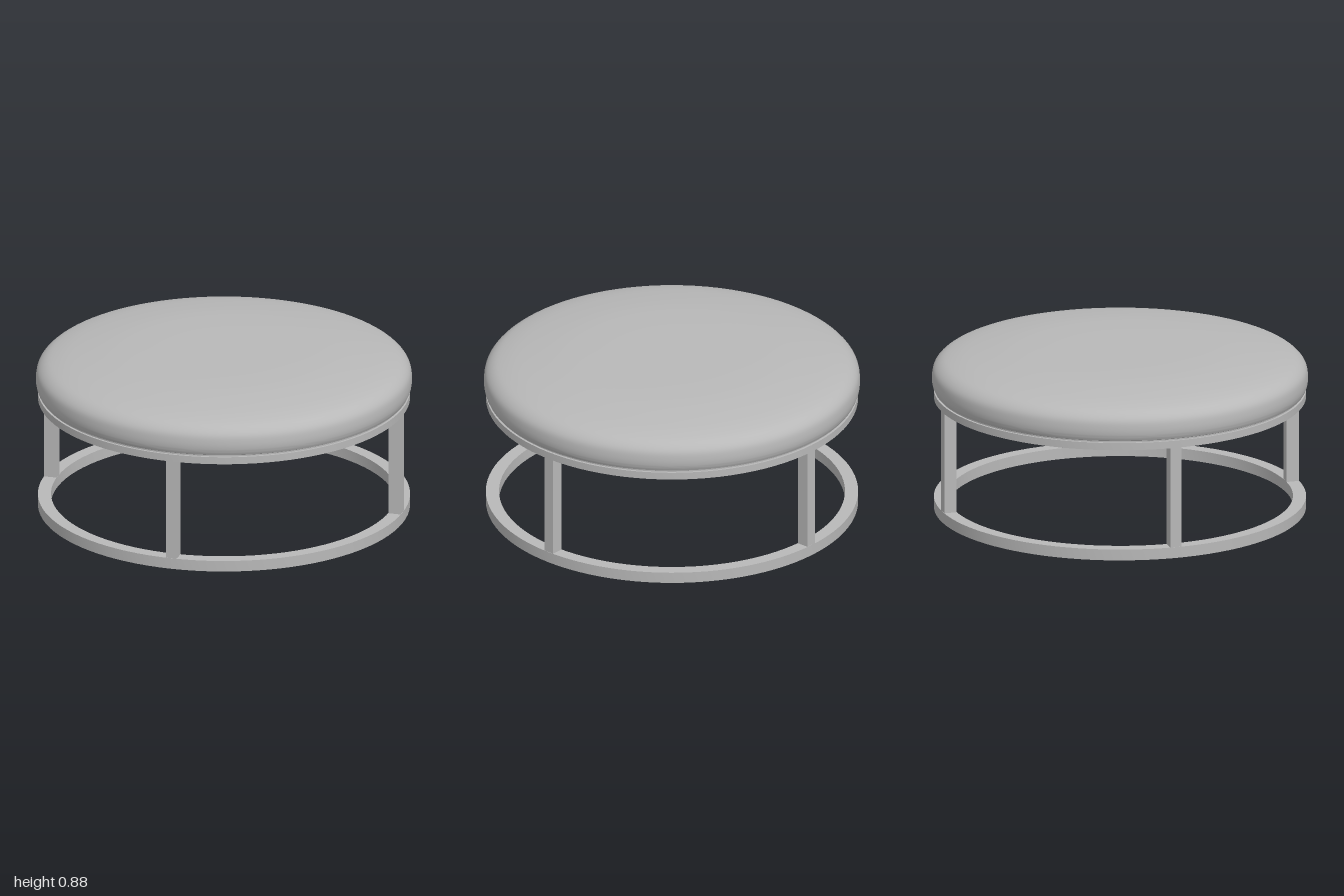
import * as THREE from 'three';
import { toCreasedNormals } from 'three/addons/utils/BufferGeometryUtils.js';

const SEGMENTS = 96;

export function createModel() {
  const group = new THREE.Group();
  group.name = 'roundOttoman';
  const grey = new THREE.MeshStandardMaterial({ name: 'softGrey', color: 0xb8b8b8 });

  const add = (name, geometry) => {
    const mesh = new THREE.Mesh(geometry, grey);
    mesh.name = name;
    group.add(mesh);
    return mesh;
  };
  // Profiles run anticlockwise in (radius, height) so faces point outward
  const turn = (points) => toCreasedNormals(
    new THREE.LatheGeometry(points.map(([r, y]) => new THREE.Vector2(r, y)), SEGMENTS), 0.6);
  const ring = (inner, outer, y0, y1) =>
    turn([[inner, y0], [outer, y0], [outer, y1], [inner, y1], [inner, y0]]);

  // Metal frame: floor ring and the ring under the seat
  add('baseRing', ring(0.92, 0.99, 0, 0.06));
  add('seatRing', ring(0.92, 0.99, 0.612, 0.652));

  // Board closing the underside, set slightly above the ring's lower edge
  add('seatBoard', turn([[0, 0.618], [0.925, 0.618], [0.925, 0.65], [0, 0.65]]));

  // Narrow shadow gap between frame and cushion
  add('seatGap', turn([[0, 0.648], [0.978, 0.648], [0.978, 0.668], [0, 0.668]]));

  // Cushion: rounded side and gently domed top
  const dome = new THREE.SplineCurve([
    [0.988, 0.664], [0.998, 0.69], [1, 0.73], [0.99, 0.775], [0.955, 0.81], [0.9, 0.831],
    [0.8, 0.851], [0.6, 0.874], [0.4, 0.882], [0.2, 0.884], [0, 0.885],
  ].map(([r, y]) => new THREE.Vector2(r, y))).getPoints(40);
  add('cushion', turn([[0, 0.66], [0.98, 0.66], ...dome.map((p) => [Math.max(p.x, 0), p.y])]));

  // Four upright legs, one per quarter turn
  for (let i = 0; i < 4; i++) {
    const angle = i * Math.PI / 2;
    const leg = add('leg', new THREE.BoxGeometry(0.06, 0.56, 0.068));
    leg.position.set(Math.sin(angle) * 0.954, 0.336, Math.cos(angle) * 0.954);
    leg.rotation.y = angle;
  }
  return group;
}
